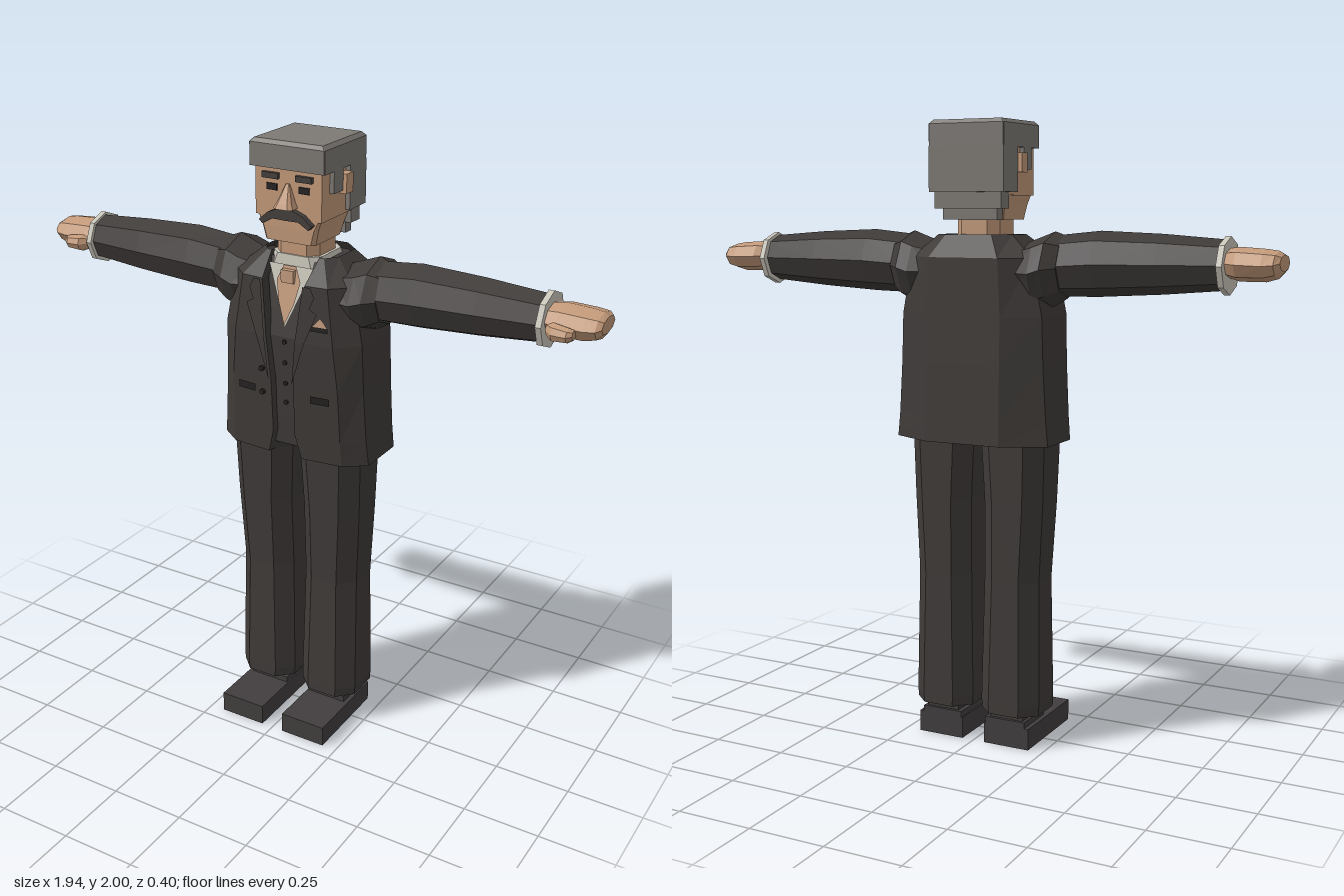
import * as THREE from 'three';

const mat = (name, color, side = THREE.FrontSide) =>
  Object.assign(new THREE.MeshStandardMaterial({ color, side, flatShading: true }), { name });

// Joins rings of points into a faceted skin; closed rings get caps.
function loft(rings, closed = true) {
  const out = [];
  const tri = (...pts) => pts.forEach((p) => out.push(...p));
  const n = rings[0].length;
  for (let i = 0; i < rings.length - 1; i++) {
    for (let j = 0; j < (closed ? n : n - 1); j++) {
      const k = (j + 1) % n;
      tri(rings[i][j], rings[i + 1][j], rings[i][k]);
      tri(rings[i][k], rings[i + 1][j], rings[i + 1][k]);
    }
  }
  if (closed) {
    const a = rings[0], b = rings[rings.length - 1];
    for (let j = 1; j < n - 1; j++) {
      tri(a[0], a[j], a[j + 1]);
      tri(b[0], b[j + 1], b[j]);
    }
  }
  const g = new THREE.BufferGeometry();
  g.setAttribute('position', new THREE.Float32BufferAttribute(out, 3));
  g.computeVertexNormals();
  return g;
}

// Upright loft of chamfered rectangles: [y, x0, x1, z0, z1, chamfer]
const loftY = (levels) => loft(levels.map(([y, x0, x1, z0, z1, c]) => [
  [x1, y, z0 + c], [x1, y, z1 - c], [x1 - c, y, z1], [x0 + c, y, z1],
  [x0, y, z1 - c], [x0, y, z0 + c], [x0 + c, y, z0], [x1 - c, y, z0],
]));

// Sideways loft of eight-sided ovals: [x, y0, y1, z0, z1]
const loftX = (levels) => loft(levels.map(([x, y0, y1, z0, z1]) =>
  Array.from({ length: 8 }, (_, i) => {
    const t = i * Math.PI / 4;
    return [x, (y0 + y1) / 2 + Math.cos(t) * (y1 - y0) / 2, (z0 + z1) / 2 - Math.sin(t) * (z1 - z0) / 2];
  })));

const box = (x0, x1, y0, y1, z0, z1) => new THREE.BoxGeometry(x1 - x0, y1 - y0, z1 - z0)
  .translate((x0 + x1) / 2, (y0 + y1) / 2, (z0 + z1) / 2);

// Thin sheet cut from an outline and laid on the surface z = depth(x, y)
function plate(pts, depth) {
  const g = new THREE.ShapeGeometry(new THREE.Shape(pts.map(([x, y]) => new THREE.Vector2(x, y)))).toNonIndexed();
  const p = g.attributes.position;
  for (let i = 0; i < p.count; i++) p.setZ(i, depth(p.getX(i), p.getY(i)));
  g.computeVertexNormals();
  return g;
}
const rect = (x0, x1, y0, y1) => [[x0, y0], [x1, y0], [x1, y1], [x0, y1]];

function mirrorX(geo) {
  const g = geo.index ? geo.toNonIndexed() : geo.clone();
  const p = g.attributes.position;
  for (let i = 0; i < p.count; i += 3) {
    const v = [0, 2, 1].map((k) => [-p.getX(i + k), p.getY(i + k), p.getZ(i + k)]);
    v.forEach((q, k) => p.setXYZ(i + k, ...q));
  }
  g.computeVertexNormals();
  return g;
}

// Jacket levels: [y, opening x, front z, panel x, side x, back x, back z, side front z, side back z]
const JACKET = [
  [1.0, 0.06, 0.105, 0.2, 0.268, 0.13, -0.198, 0.04, -0.13],
  [1.08, 0.04, 0.112, 0.195, 0.26, 0.13, -0.196, 0.045, -0.13],
  [1.25, 0.04, 0.122, 0.19, 0.25, 0.13, -0.192, 0.05, -0.13],
  [1.4, 0.055, 0.126, 0.175, 0.245, 0.13, -0.188, 0.055, -0.13],
  [1.58, 0.075, 0.112, 0.15, 0.21, 0.12, -0.185, 0.05, -0.13],
  [1.65, 0.085, 0.04, 0.1, 0.13, 0.08, -0.145, 0.0, -0.1],
];
const SLOPE = 0.1;
function jacketZ(x, y) {
  const i = Math.min(JACKET.length - 2, Math.max(0, JACKET.findIndex((r) => r[0] >= y) - 1));
  const a = JACKET[i], b = JACKET[i + 1], t = (y - a[0]) / (b[0] - a[0]);
  const mix = (k) => a[k] + (b[k] - a[k]) * t;
  return mix(2) - SLOPE * (Math.abs(x) - mix(1)) + 0.006;
}

export function createModel() {
  const suit = mat('charcoal suit', 0x3f3b39, THREE.DoubleSide);
  const shoe = mat('shoe leather', 0x423e3f);
  const hair = mat('grey hair', 0x7d7974);
  const skin = mat('skin', 0xc39a7a);
  const shirt = mat('shirt', 0xc9c6ba);
  const silk = mat('peach silk', 0xc49c7e, THREE.DoubleSide);
  const dark = mat('dark trim', 0x252222);
  const whisker = mat('dark whiskers', 0x443f3d);

  const model = new THREE.Group();
  const add = (name, geo, m) => {
    const mesh = new THREE.Mesh(geo, m);
    mesh.name = name;
    model.add(mesh);
  };
  const pair = (name, geo, m) => {
    add(name + 'Left', geo, m);
    add(name + 'Right', mirrorX(geo), m);
  };

  // Shoes and trousers
  pair('shoe', box(0.04, 0.2, 0, 0.07, -0.12, 0.2), shoe);
  pair('shoeTop', box(0.045, 0.185, 0.07, 0.09, -0.12, 0.03), shoe);
  pair('ankle', box(0.06, 0.175, 0.085, 0.13, -0.11, 0.025), suit);
  pair('trouserLeg', loftY([
    [0.11, 0.018, 0.222, -0.14, 0.072, 0.05],
    [0.14, 0.016, 0.224, -0.14, 0.072, 0.05],
    [0.55, 0.024, 0.218, -0.132, 0.064, 0.05],
    [0.8, 0.024, 0.23, -0.132, 0.076, 0.05],
    [1.0, 0.014, 0.235, -0.135, 0.085, 0.05],
    [1.05, 0.0, 0.23, -0.135, 0.085, 0.05],
  ]), suit);

  // Waistcoat under the open jacket
  add('waistcoat', loftY([
    [1.03, -0.2, 0.2, -0.16, 0.085, 0.07],
    [1.15, -0.2, 0.2, -0.16, 0.095, 0.08],
    [1.4, -0.2, 0.2, -0.16, 0.105, 0.08],
    [1.59, -0.15, 0.15, -0.15, 0.065, 0.05],
    [1.635, -0.11, 0.11, -0.13, 0.045, 0.02],
  ]), suit);
  const chestZ = (lift) => (x, y) => 0.105 - (y - 1.4) * 0.21 + lift;
  add('shirtFront', plate([[-0.078, 1.62], [0, 1.43], [0.078, 1.62]], chestZ(0.006)), shirt);
  add('tie', plate([[-0.022, 1.62], [-0.042, 1.575], [-0.028, 1.51], [0, 1.44], [0.028, 1.51], [0.042, 1.575], [0.022, 1.62]],
    chestZ(0.012)), silk);
  add('tieKnot', box(-0.022, 0.022, 1.57, 1.61, 0.06, 0.09), silk);
  for (const y of [1.18, 1.245, 1.315, 1.385]) {
    add('waistcoatButton', new THREE.CylinderGeometry(0.008, 0.008, 0.012, 6).rotateX(Math.PI / 2)
      .translate(0, y, 0.105 - (1.4 - y) * 0.04), dark);
  }

  // Jacket shell, open down the front
  add('jacket', loft(JACKET.map(([y, xi, zf, xm, xs, xb, zb, sf, sb]) => {
    const half = [[xb, y, zb], [xs, y, sb], [xs, y, sf], [xm, y, zf - SLOPE * (xm - xi)], [xi, y, zf], [xi - 0.005, y, zf - 0.03]];
    const other = half.map(([x, yy, z]) => [-x, yy, z]);
    // runs from the left opening round the back to the right opening
    return [...other, ...[]].reverse().concat(half);
  }), false), suit);
  pair('lapel', plate([[0.055, 1.4], [0.042, 1.26], [0.085, 1.4], [0.125, 1.5], [0.1, 1.515], [0.115, 1.55], [0.1, 1.58], [0.075, 1.58]],
    (x, y) => jacketZ(x, y) + 0.006), suit);
  pair('pocketFlap', plate(rect(0.1, 0.165, 1.205, 1.23), jacketZ), dark);
  add('breastPocket', plate(rect(0.1, 0.16, 1.445, 1.46), jacketZ), dark);
  add('pocketSquare', plate([[0.108, 1.46], [0.158, 1.46], [0.145, 1.478], [0.132, 1.488]], jacketZ), silk);
  for (const y of [1.21, 1.29]) {
    add('jacketButton', new THREE.CylinderGeometry(0.009, 0.009, 0.012, 6).rotateX(Math.PI / 2)
      .translate(-0.072, y, jacketZ(0.072, y)), dark);
  }

  // Arms held straight out
  pair('shoulder', loftX([
    [0.14, 1.45, 1.62, -0.15, 0.08], [0.21, 1.42, 1.645, -0.172, 0.09],
    [0.25, 1.43, 1.66, -0.17, 0.085], [0.29, 1.455, 1.645, -0.135, 0.065],
  ]), suit);
  pair('sleeve', loftX([
    [0.27, 1.46, 1.65, -0.13, 0.062], [0.4, 1.463, 1.663, -0.133, 0.065],
    [0.6, 1.475, 1.655, -0.122, 0.055], [0.8, 1.492, 1.64, -0.107, 0.038],
  ]), suit);
  pair('cuff', loftX([[0.79, 1.478, 1.65, -0.127, 0.052], [0.808, 1.478, 1.65, -0.127, 0.052]]), shirt);
  pair('hand', loftX([
    [0.8, 1.53, 1.615, -0.1, 0.025], [0.84, 1.52, 1.62, -0.122, 0.032],
    [0.92, 1.52, 1.615, -0.126, 0.03], [0.955, 1.53, 1.61, -0.12, 0.025], [0.97, 1.55, 1.6, -0.1, 0.01],
  ]), skin);
  pair('thumb', loftX([
    [0.815, 1.535, 1.575, -0.01, 0.035], [0.84, 1.525, 1.58, 0.0, 0.06],
    [0.885, 1.53, 1.575, 0.01, 0.062], [0.9, 1.54, 1.57, 0.015, 0.05],
  ]), skin);

  // Neck and head
  add('shirtCollar', loftY([[1.6, -0.1, 0.1, -0.13, 0.06, 0.03], [1.65, -0.085, 0.085, -0.12, 0.055, 0.03]]), shirt);
  add('neck', loftY([[1.56, -0.075, 0.075, -0.105, 0.05, 0.03], [1.72, -0.075, 0.075, -0.105, 0.05, 0.03]]), skin);
  add('face', box(-0.115, 0.115, 1.77, 1.95, -0.12, 0.08), skin);
  add('jaw', loftY([[1.695, -0.088, 0.088, -0.09, 0.078, 0.012], [1.74, -0.098, 0.098, -0.1, 0.08, 0.01], [1.78, -0.112, 0.112, -0.1, 0.08, 0.005]]), skin);
  pair('ear', box(0.11, 0.142, 1.84, 1.9, -0.06, -0.02), skin);
  add('nose', loftY([[1.805, -0.034, 0.034, 0.07, 0.122, 0.012], [1.82, -0.026, 0.026, 0.07, 0.115, 0.01], [1.875, -0.006, 0.006, 0.07, 0.085, 0.002]]), skin);
  pair('eye', box(0.038, 0.074, 1.85, 1.87, 0.078, 0.084), dark);
  pair('eyebrow', box(0.03, 0.086, 1.886, 1.904, 0.075, 0.092), whisker);
  add('moustache', new THREE.ExtrudeGeometry(new THREE.Shape([
    [0, 1.767], [0.045, 1.768], [0.08, 1.748], [0.092, 1.76], [0.06, 1.787], [0.025, 1.8],
    [-0.025, 1.8], [-0.06, 1.787], [-0.092, 1.76], [-0.08, 1.748], [-0.045, 1.768],
  ].map(([x, y]) => new THREE.Vector2(x, y))), { depth: 0.03, bevelEnabled: false }).translate(0, 0, 0.07), whisker);

  // Hair in stepped blocks
  add('hairTop', loftY([[1.917, -0.13, 0.13, -0.162, 0.09, 0.002], [1.988, -0.13, 0.13, -0.162, 0.09, 0.002], [2.0, -0.118, 0.118, -0.152, 0.08, 0.002]]), hair);
  add('hairBack', box(-0.13, 0.13, 1.78, 1.92, -0.162, -0.062), hair);
  add('hairNape', box(-0.116, 0.116, 1.73, 1.785, -0.15, -0.095), hair);
  add('hairNapeLow', box(-0.095, 0.095, 1.695, 1.735, -0.136, -0.1), hair);
  pair('sideburn', box(0.11, 0.13, 1.85, 1.92, -0.02, 0.034), hair);

  return model;
}
